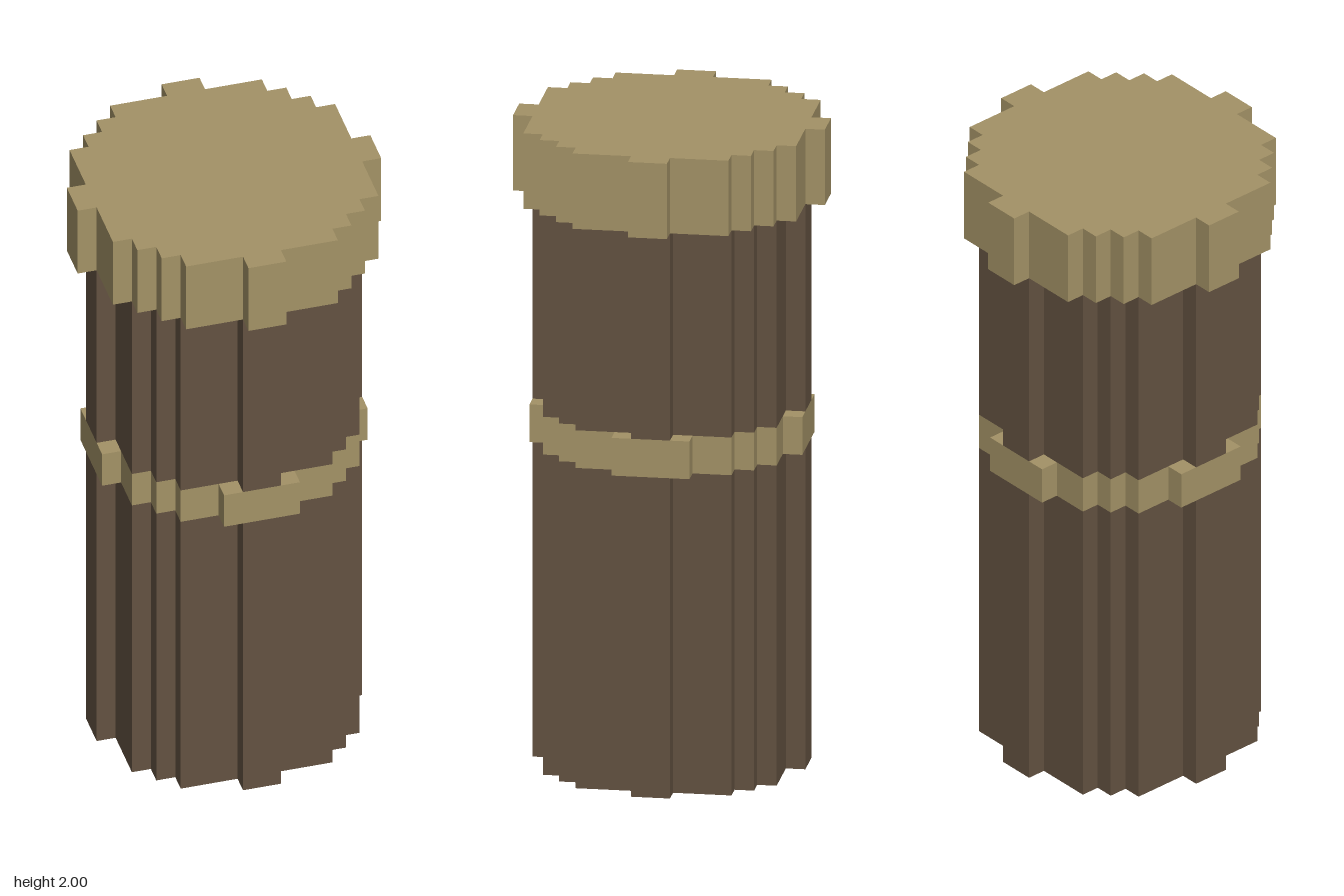
import * as THREE from 'three';

const U = 2 / 34; // one block of the grid

// Corners of one quarter of each stepped outline, in blocks, from the z side to the x side
const shaftQuarter = [[1, 7], [1, 6], [4, 6], [4, 5], [5, 5], [5, 4], [6, 4], [6, 1], [7, 1]];
const bandQuarter = [[2, 7], [2, 6], [4, 6], [4, 5], [5, 5], [5, 4], [6, 4], [6, 2], [7, 2]];
const capQuarter = [[1, 8], [1, 7], [4, 7], [4, 6], [5, 6], [5, 5], [6, 5], [6, 4], [7, 4], [7, 1], [8, 1]];

// Turn the quarter four times around the axis and extrude it from y0 to y1 (in blocks)
function steppedColumn(name, quarter, y0, y1, material) {
  const points = [];
  for (let k = 0; k < 4; k++) {
    for (const [a, b] of quarter) {
      let x = a, y = b;
      for (let i = 0; i < k; i++) [x, y] = [y, -x];
      points.push(new THREE.Vector2(x * U, y * U));
    }
  }
  const geometry = new THREE.ExtrudeGeometry(new THREE.Shape(points), {
    depth: (y1 - y0) * U,
    bevelEnabled: false,
  });
  geometry.rotateX(-Math.PI / 2);
  geometry.translate(0, y0 * U, 0);
  const mesh = new THREE.Mesh(geometry, material);
  mesh.name = name;
  return mesh;
}

export function createModel() {
  const brown = new THREE.MeshStandardMaterial({ color: 0x635241 });
  brown.name = 'dark brown';
  const tan = new THREE.MeshStandardMaterial({ color: 0xa39266 });
  tan.name = 'tan';

  const group = new THREE.Group();
  group.name = 'column';
  group.add(
    steppedColumn('lowerShaft', shaftQuarter, 0, 17, brown),
    steppedColumn('band', bandQuarter, 17, 19, tan),
    steppedColumn('upperShaft', shaftQuarter, 19, 30, brown),
    steppedColumn('cap', capQuarter, 30, 34, tan),
  );
  return group;
}
